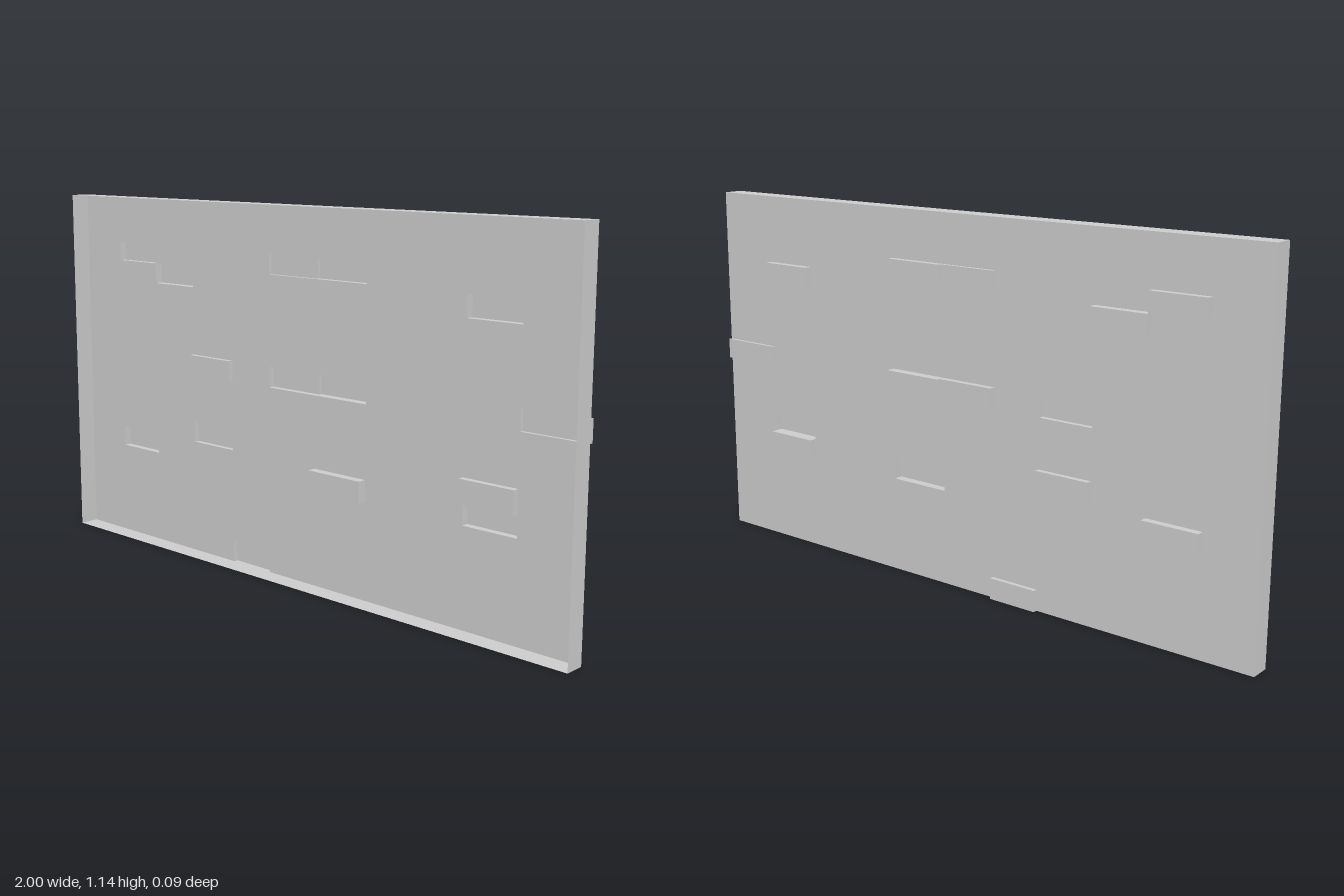
import * as THREE from 'three';

// Grid lines of the brick layout, and the depths of rim and panel
const XS = [-1, -0.83, -0.652, -0.472, -0.292, -0.13, 0.06, 0.26, 0.61, 0.79, 1];
const YS = [0, 0.066, 0.298, 0.364, 0.433, 0.586, 0.65, 0.866, 0.93, 0.991, 1.142];
const FRONT = 0.047, PANEL = -0.016;

// Displaced bricks: [column, row, z]; z below PANEL is pushed out at the back
const BRICKS = [
  [1, 8, -0.037], [5, 8, -0.028], [6, 8, -0.037],
  [2, 7, -0.043], [8, 7, -0.04],
  [3, 5, 0], [5, 5, -0.036], [6, 5, -0.046], [9, 5, -0.027],
  [3, 3, -0.033], [8, 3, 0.004],
  [1, 2, -0.039], [6, 2, 0.012], [8, 2, -0.039],
  [4, 0, -0.03],
];

const material = new THREE.MeshStandardMaterial({ color: 0xcccccc, flatShading: true, side: THREE.DoubleSide });

// Mesh from a list of four-cornered faces
function quadMesh(name, quads) {
  const position = quads.flatMap(([a, b, c, d]) => [a, b, c, a, c, d].flat());
  const geometry = new THREE.BufferGeometry();
  geometry.setAttribute('position', new THREE.Float32BufferAttribute(position, 3));
  geometry.computeVertexNormals();
  const mesh = new THREE.Mesh(geometry, material);
  mesh.name = name;
  return mesh;
}

export function createModel() {
  const nx = XS.length - 1, ny = YS.length - 1;
  const brickZ = new Map(BRICKS.map(([i, j, z]) => [`${i},${j}`, z]));
  const outside = (i, j) => i < 0 || j < 0 || i >= nx || j >= ny;
  const depth = (i, j) => outside(i, j) ? FRONT : brickZ.get(`${i},${j}`) ?? PANEL;

  const panel = [], bricks = [], steps = [], rim = [];

  // Flat faces, looking towards the back
  for (let i = 0; i < nx; i++) {
    for (let j = 0; j < ny; j++) {
      const z = depth(i, j), [x0, x1, y0, y1] = [XS[i], XS[i + 1], YS[j], YS[j + 1]];
      const face = [[x0, y0, z], [x0, y1, z], [x1, y1, z], [x1, y0, z]];
      (brickZ.has(`${i},${j}`) ? bricks : panel).push(face);
    }
  }

  // Upright faces between cells of different depth; at the border they form the rim
  const join = (i, j, k, l, p, q) => {
    const za = depth(i, j), zb = depth(k, l);
    if (za === zb) return;
    const list = outside(i, j) || outside(k, l) ? rim : steps;
    list.push([[...p, za], [...q, za], [...q, zb], [...p, zb]]);
  };
  for (let i = 0; i <= nx; i++)
    for (let j = 0; j < ny; j++) join(i - 1, j, i, j, [XS[i], YS[j]], [XS[i], YS[j + 1]]);
  for (let j = 0; j <= ny; j++)
    for (let i = 0; i < nx; i++) join(i, j, i, j - 1, [XS[i], YS[j]], [XS[i + 1], YS[j]]);

  const group = new THREE.Group();
  group.name = 'brickWallPanel';
  group.add(
    quadMesh('backPanel', panel),
    quadMesh('brickFaces', bricks),
    quadMesh('brickSides', steps),
    quadMesh('rim', rim),
  );
  return group;
}
